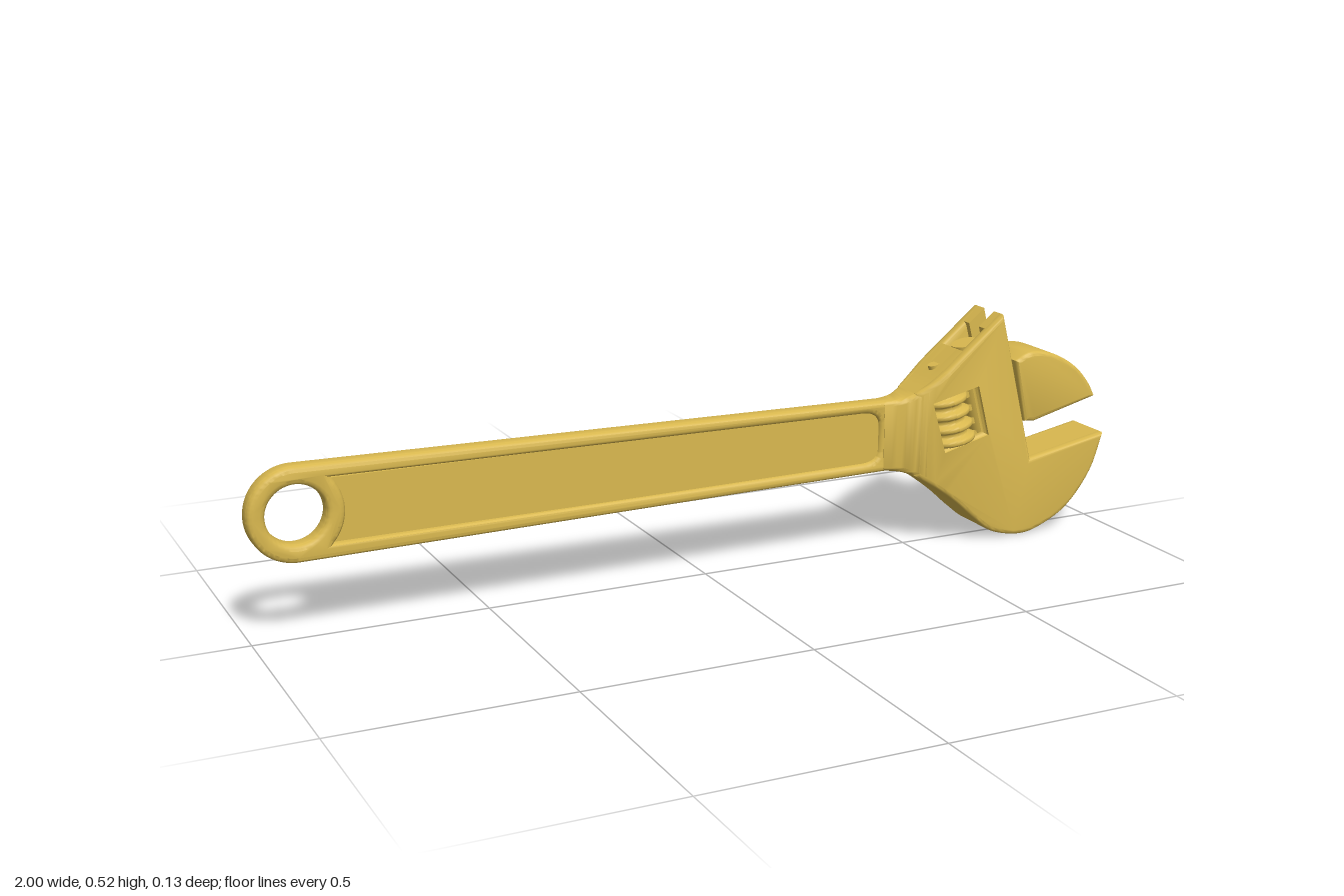
import * as THREE from 'three';
import { toCreasedNormals } from 'three/addons/utils/BufferGeometryUtils.js';

const TILT = 0.258; // lean of the jaw slide
const EYE = [-0.9, 0.265];
const material = new THREE.MeshStandardMaterial({ color: 0xd9b84f });
const V = (x, y) => new THREE.Vector2(x, y);

function part(name, geometry, parent) {
  const mesh = new THREE.Mesh(geometry, material);
  mesh.name = name;
  parent.add(mesh);
  return mesh;
}

// Extrude a shape between z0 and z1, optionally with rounded edges
function slab(shape, z0, z1, b = 0) {
  const g = new THREE.ExtrudeGeometry(shape, {
    depth: z1 - z0 - 2 * b, bevelEnabled: b > 0, bevelSize: b, bevelThickness: b,
    bevelOffset: -b, bevelSegments: 3, curveSegments: 32,
  });
  return g.translate(0, 0, z0 + b);
}
const smooth = (g) => toCreasedNormals(g, 0.6);
const spline = (pts, n) => new THREE.SplineCurve(pts.map((p) => V(...p))).getPoints(n);

// Half thickness of the tool along its length
const halfThickness = (x) => 0.024 + 0.041 * THREE.MathUtils.smoothstep(x, 0.42, 0.58);
function flare(g) {
  const p = g.attributes.position;
  for (let i = 0; i < p.count; i++) p.setZ(i, p.getZ(i) * halfThickness(p.getX(i)) / 0.065);
  return smooth(g);
}

// Slide coordinates: u across the slide, v along it
const toUV = (p) => p.clone().rotateAround(V(0, 0), -TILT);
const fromUV = (u, v) => V(u, v).rotateAround(V(0, 0), TILT);

// Keep the part of a polygon where f(uv) >= 0
function clip(points, f) {
  const out = [];
  points.forEach((a, i) => {
    const b = points[(i + 1) % points.length];
    const fa = f(toUV(a)), fb = f(toUV(b));
    if (fa >= 0) out.push(a);
    if (fa * fb < 0) out.push(a.clone().lerp(b, fa / (fa - fb)));
  });
  return out;
}

// Sunken panel outline, its left end hollowed around the eye
function panelShape(grow) {
  const s = new THREE.Shape();
  const r = 0.1 - grow, a = 0.77;
  s.moveTo(EYE[0] + r * Math.cos(a), 0.334 + grow);
  s.absarc(...EYE, r, a, -a, true);
  s.lineTo(0.38, 0.208 - grow);
  s.quadraticCurveTo(0.42 + grow, 0.209 - grow, 0.42 + grow, 0.24);
  s.lineTo(0.42 + grow, 0.29);
  s.quadraticCurveTo(0.42 + grow, 0.322 + grow, 0.38, 0.323 + grow);
  s.closePath();
  return s;
}

function buildHandle(root) {
  const rim = new THREE.Shape();
  rim.absarc(...EYE, 0.1, Math.PI / 2, Math.PI * 1.5, false);
  rim.lineTo(0.47, 0.184);
  rim.lineTo(0.47, 0.346);
  rim.closePath();
  const eye = new THREE.Path();
  eye.absarc(...EYE, 0.062, 0, Math.PI * 2, true);
  rim.holes.push(eye, panelShape(0));
  part('handleRim', smooth(slab(rim, -0.024, 0.024, 0.012)), root);
  part('handlePanel', slab(panelShape(0.004), -0.014, 0.014), root);
}

// Neck lofted through rounded rectangles
function buildNeck(root) {
  const low = spline([[0.43, 0.185], [0.47, 0.18], [0.5, 0.17], [0.525, 0.156]], 12);
  const high = spline([[0.43, 0.346], [0.47, 0.349], [0.5, 0.36], [0.525, 0.375]], 12);
  const pos = [], idx = [], n = 24, r = 0.012;
  low.forEach((p, k) => {
    const y0 = p.y, y1 = high[k].y, h = halfThickness(p.x);
    for (let i = 0; i < n; i++) {
      const c = Math.floor(i / 6), a = (c + (i % 6) / 5) * Math.PI / 2;
      const sz = c === 0 || c === 3 ? 1 : -1, top = c < 2;
      pos.push(p.x, (top ? y1 - r : y0 + r) + r * Math.sin(a), sz * (h - r) + r * Math.cos(a));
      if (k) {
        const j = (i + 1) % n, A = (k - 1) * n, B = k * n;
        idx.push(A + i, B + j, B + i, A + i, A + j, B + j);
      }
    }
  });
  for (let i = 1; i < n - 1; i++) {
    const e = (low.length - 1) * n;
    idx.push(0, i + 1, i, e, e + i, e + i + 1);
  }
  // turn the winding outward
  for (let i = 0; i < idx.length; i += 3) [idx[i + 1], idx[i + 2]] = [idx[i + 2], idx[i + 1]];
  const g = new THREE.BufferGeometry();
  g.setAttribute('position', new THREE.Float32BufferAttribute(pos, 3));
  g.setIndex(idx);
  part('neck', smooth(g), root).material = Object.assign(material, { side: THREE.DoubleSide });
}

// Head in layers, leaving the worm window, the bore and its slot open
function buildHead(root) {
  const outline = [
    ...spline([[0.5, 0.36], [0.535, 0.383], [0.57, 0.411]], 6),
    V(0.71, 0.525), V(0.797, 0.18),
    ...spline([[0.998, 0.218], [0.967, 0.13], [0.905, 0.052], [0.83, 0.011], [0.77, 0.001],
      [0.7, 0.018], [0.65, 0.055], [0.6, 0.1], [0.55, 0.138], [0.5, 0.17]], 45),
  ];
  const [u0, u1, v0, v1] = [0.594, 0.731, 0.06, 0.2];
  const plate = new THREE.Shape(outline);
  plate.holes.push(new THREE.Path([fromUV(u0, v0), fromUV(u0, v1), fromUV(u1, v1), fromUV(u1, v0)]));

  const left = clip(outline, (p) => 0.709 - p.x);
  const behind = [
    clip(left, (p) => p.y - v1),
    clip(left, (p) => v0 - p.y),
    clip(clip(clip(left, (p) => u0 - p.x), (p) => p.y - v0), (p) => v1 - p.y),
  ];
  const shapes = (list) => list.map((pts) => new THREE.Shape(pts));
  const core = shapes([...behind, clip(outline, (p) => p.x - 0.8205)]);
  const cheek = shapes([...behind, clip(outline, (p) => p.x - 0.775)]);

  part('headCore', flare(slab(core, -0.02, 0.02)), root);
  part('headCheekFront', flare(slab(cheek, 0.02, 0.045)), root);
  part('headCheekBack', flare(slab(cheek, -0.045, -0.02)), root);
  part('headPlateFront', flare(slab(plate, 0.035, 0.065, 0.01)), root);
  part('headPlateBack', flare(slab(plate, -0.065, -0.035, 0.01)), root);
}

function buildMovingJaw(root, slide) {
  const jaw = new THREE.Shape([
    ...spline([[0.747, 0.415], [0.79, 0.432], [0.85, 0.421], [0.91, 0.387], [0.948, 0.346], [0.968, 0.31]], 24),
    V(0.803, 0.268), V(0.779, 0.27),
  ]);
  part('movingJaw', smooth(slab(jaw, -0.065, 0.065, 0.01)), root);

  // Web through the slot, rack rod and its teeth
  const web = new THREE.Shape([V(0.742, 0.0), V(0.815, 0.0), V(0.84, 0.07), V(0.84, 0.21), V(0.8, 0.26), V(0.742, 0.27)]);
  part('jawWeb', slab(web, -0.018, 0.018), slide);
  const rod = new THREE.CylinderGeometry(0.03, 0.03, 0.27, 32);
  part('rackRod', rod, slide).position.set(0.742, 0.14, 0);
  for (let i = 0; i < 7; i++) {
    const tooth = part('rackTooth', new THREE.BoxGeometry(0.02, 0.014, 0.036), slide);
    tooth.position.set(0.715, 0.03 + i * 0.0325, 0);
  }
}

// Adjusting worm with a helical thread, and its pin
function buildWorm(slide) {
  const length = 0.134, pitch = 0.0325;
  const g = new THREE.CylinderGeometry(1, 1, length, 40, 56);
  const p = g.attributes.position;
  for (let i = 0; i < p.count; i++) {
    const x = p.getX(i), y = p.getY(i), z = p.getZ(i);
    const wave = Math.cos(2 * Math.PI * y / pitch - Math.atan2(z, x));
    const r = 0.051 + 0.008 * Math.tanh(2.5 * wave);
    p.setXYZ(i, x * r, y, z * r);
  }
  g.computeVertexNormals();
  part('adjustingWorm', g, slide).position.set(0.655, 0.13, 0);
  part('wormPin', new THREE.CylinderGeometry(0.014, 0.014, 0.28, 20), slide).position.set(0.655, 0.115, 0);
}

export function createModel() {
  const root = new THREE.Group();
  root.name = 'adjustableWrench';
  const slide = new THREE.Group();
  slide.name = 'slideParts';
  slide.rotation.z = TILT;
  root.add(slide);
  buildHandle(root);
  buildNeck(root);
  buildHead(root);
  buildMovingJaw(root, slide);
  buildWorm(slide);
  return root;
}
